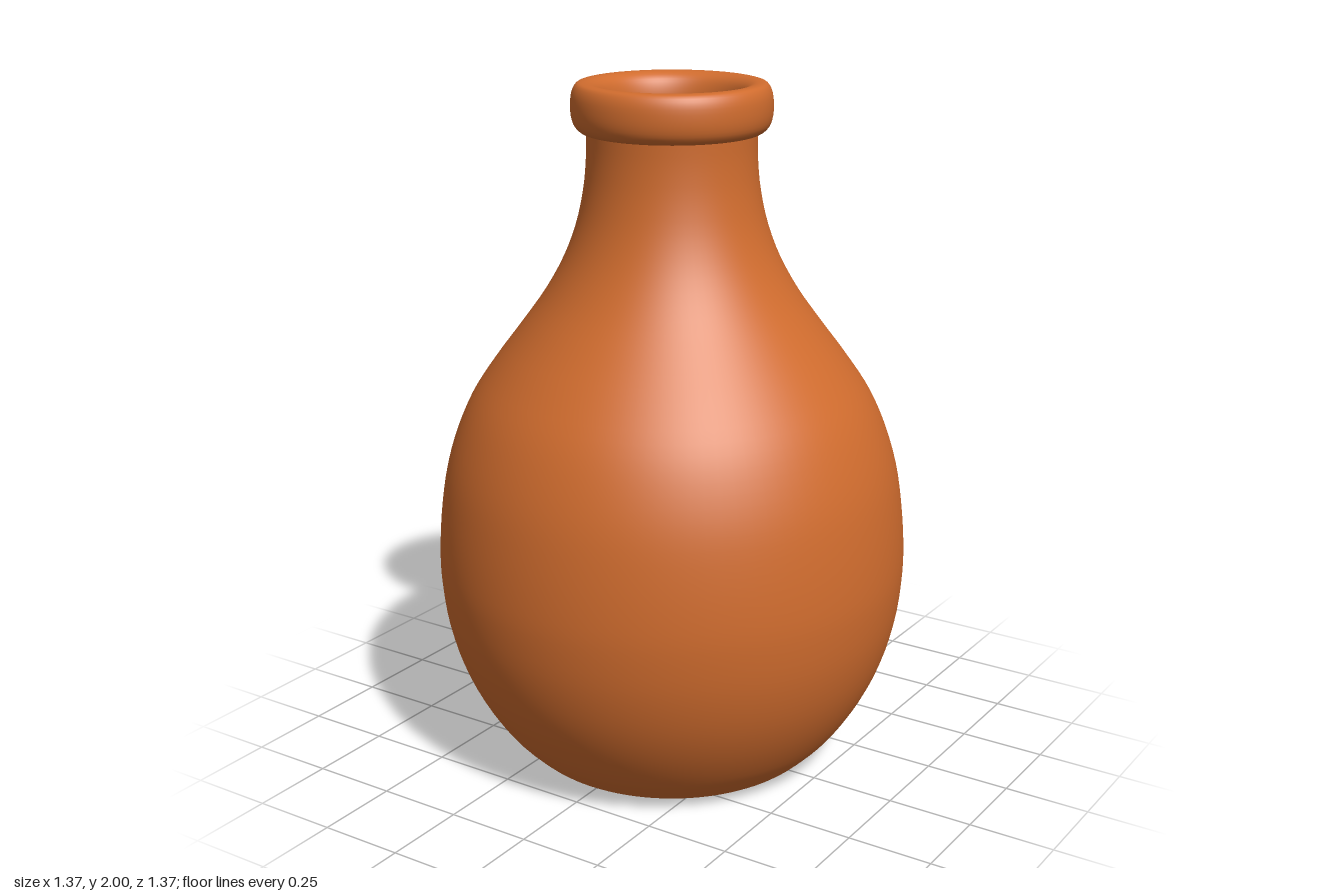
import * as THREE from 'three';

const SEGMENTS = 96;

export function createModel() {
  const group = new THREE.Group();
  const clay = new THREE.MeshStandardMaterial({ color: 0xd06c2e });
  clay.name = 'terracotta';

  const toPoints = (pairs) => pairs.map(([r, y]) => new THREE.Vector2(r, y));

  // Revolve a profile; a positive sample count smooths it with a spline first
  const revolve = (name, pairs, samples = 0) => {
    let points = toPoints(pairs);
    if (samples) points = new THREE.SplineCurve(points).getPoints(samples);
    const mesh = new THREE.Mesh(new THREE.LatheGeometry(points, SEGMENTS), clay);
    mesh.name = name;
    group.add(mesh);
  };

  // Flat foot
  revolve('base', [[0, 0], [0.385, 0]]);

  // Rounded belly narrowing into the neck
  revolve('body', [
    [0.385, 0], [0.42, 0.012], [0.46, 0.045], [0.52, 0.11], [0.585, 0.21], [0.635, 0.32],
    [0.668, 0.44], [0.683, 0.56], [0.684, 0.66], [0.674, 0.78], [0.654, 0.9],
    [0.62, 1.01], [0.574, 1.11], [0.507, 1.21], [0.432, 1.31], [0.361, 1.41],
    [0.306, 1.51], [0.269, 1.61], [0.248, 1.71], [0.24, 1.8], [0.24, 1.87],
  ], 64);

  // Rolled lip around the mouth
  revolve('lip', [
    [0.236, 1.865], [0.255, 1.865], [0.274, 1.885], [0.282, 1.92], [0.28, 1.965],
    [0.268, 1.993], [0.25, 2], [0.225, 1.997], [0.204, 1.982],
    [0.192, 1.955], [0.187, 1.92], [0.19, 1.885], [0.2, 1.865],
  ], 40);

  // Hollow inside, running down from the mouth to the floor
  revolve('innerWall', [
    [0.2, 1.865], [0.2, 1.8], [0.208, 1.71], [0.229, 1.6], [0.266, 1.49], [0.321, 1.38],
    [0.392, 1.28], [0.467, 1.18], [0.534, 1.08], [0.58, 0.98], [0.614, 0.88],
    [0.634, 0.77], [0.643, 0.65], [0.642, 0.56], [0.627, 0.44], [0.595, 0.33],
    [0.545, 0.22], [0.48, 0.13], [0.4, 0.06],
  ], 56);
  revolve('innerFloor', [[0.4, 0.06], [0, 0.06]]);

  return group;
}
